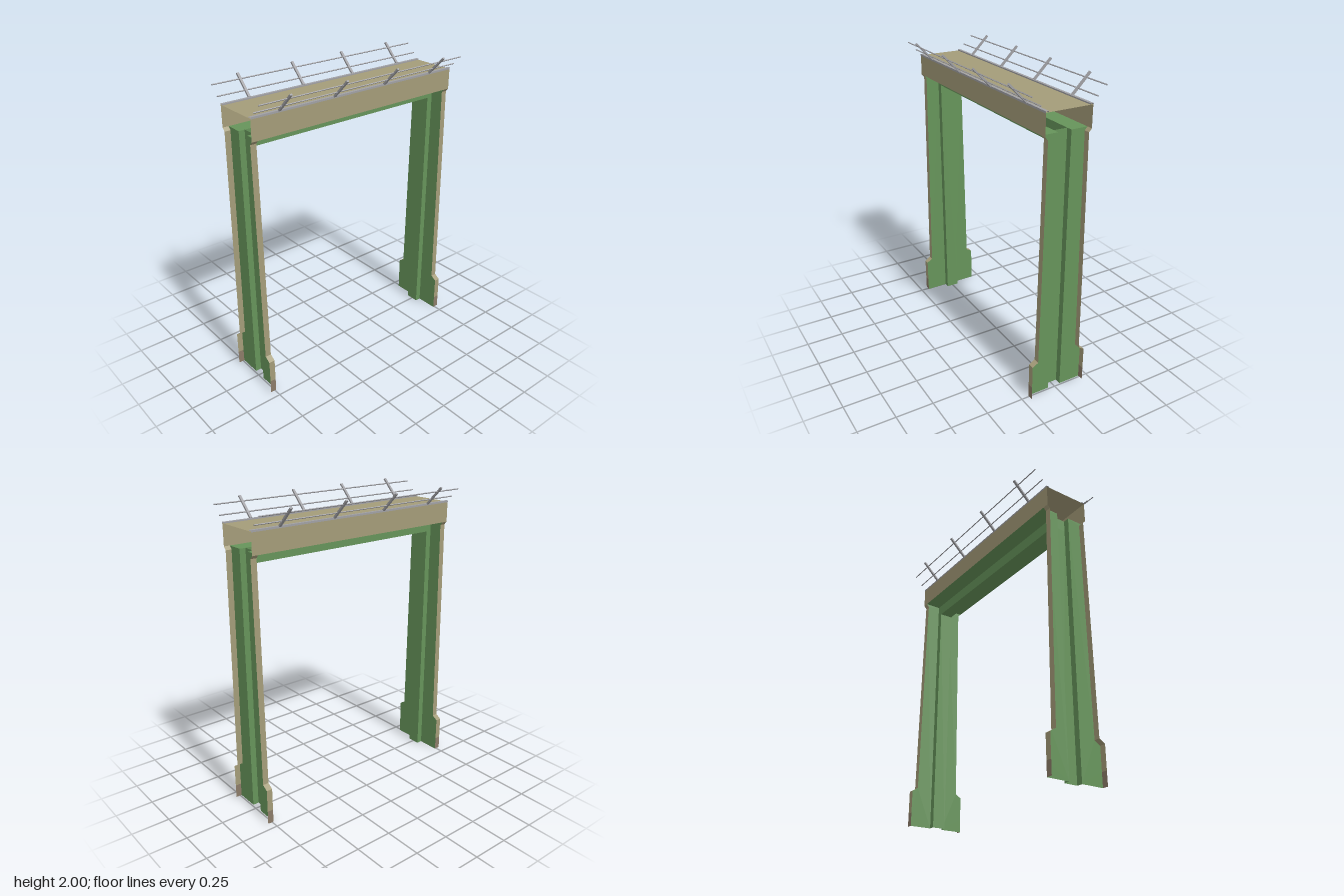
import * as THREE from 'three';

const mat = (name, color) => {
  const m = new THREE.MeshStandardMaterial({ color, side: THREE.DoubleSide });
  m.name = name;
  return m;
};

export function createModel() {
  const green = mat('green paint', 0x66945a);
  const khaki = mat('khaki stone', 0xa49c79);
  const brown = mat('brown plinth', 0x8b7b68);
  const grey = mat('grey metal', 0xa0a0a4);

  const model = new THREE.Group();
  model.name = 'portal';

  const add = (name, geometry, material) => {
    const mesh = new THREE.Mesh(geometry, material);
    mesh.name = name;
    model.add(mesh);
    return mesh;
  };

  // Folded thin sheet: a polyline swept between two parallel edges
  const sheet = (pts, toA, toB) => {
    const pos = [];
    for (let i = 0; i < pts.length - 1; i++) {
      const a = toA(pts[i]), b = toA(pts[i + 1]), c = toB(pts[i + 1]), d = toB(pts[i]);
      pos.push(...a, ...b, ...c, ...a, ...c, ...d);
    }
    const g = new THREE.BufferGeometry();
    g.setAttribute('position', new THREE.Float32BufferAttribute(pos, 3));
    g.computeVertexNormals();
    return g;
  };
  // Profile points are [z, y], swept along x; s mirrors z
  const alongX = (pts, x0, x1, s = 1) =>
    sheet(pts, ([z, y]) => [x0, y, z * s], ([z, y]) => [x1, y, z * s]);
  const flat = pts => new THREE.ShapeGeometry(new THREE.Shape(pts.map(p => new THREE.Vector2(...p))));

  const END = 0.78, WEB = 0.74, RIB = 0.70;
  const TOP = 1.735, RIBY = 1.66, RZ = 0.045, DECK = 1.872;
  // Leg edge: wide foot, bevel, slow taper, flared head
  const foot = [[0.195, 0], [0.195, 0.09]];
  const edge = [[0.195, 0.09], [0.195, 0.242], [0.155, 0.267], [0.136, 1.715], [0.154, TOP]];

  for (const sx of [1, -1]) {
    for (const sz of [1, -1]) {
      // Leg web beside the groove
      const web = flat([[RZ, 0], foot[0], ...edge, [RZ, TOP]].map(([z, y]) => [z * sz, y]));
      web.rotateY(-Math.PI / 2).translate(sx * WEB, 0, 0);
      add('legWeb', web, green);
      // Outward flange following the leg edge
      add('legFlange', alongX(edge, sx * WEB, sx * END, sz), khaki);
      add('legFoot', alongX(foot, sx * WEB, sx * END, sz), brown);
    }
    // Closes the groove above the rib corner
    add('grooveEnd', sheet([RIBY, TOP], y => [sx * RIB, y, RZ], y => [sx * RIB, y, -RZ]), green);
  }

  // Rib running up both legs and under the beam
  add('ribFace', sheet([[RIB, 0], [RIB, RIBY], [-RIB, RIBY], [-RIB, 0]],
    ([x, y]) => [x, y, RZ], ([x, y]) => [x, y, -RZ]), green);
  for (const sz of [1, -1]) {
    const side = flat([[WEB, 0], [WEB, TOP], [-WEB, TOP], [-WEB, 0],
      [-RIB, 0], [-RIB, RIBY], [RIB, RIBY], [RIB, 0]]);
    side.translate(0, 0, sz * RZ);
    add('ribSide', side, green);
    add('soffit', alongX([[RZ, TOP], [0.154, TOP]], -WEB, WEB, sz), green);
    add('beamSide', alongX([[0.154, TOP], [0.154, DECK]], -END, END, sz), khaki);
    add('curb', alongX([[0.156, 1.868], [0.156, 1.88], [0.137, 1.88], [0.137, DECK]], -END, END, sz), grey);

    // Railing leaning outward at 45 degrees
    for (let i = 0; i < 4; i++) {
      const post = add('railPost', new THREE.BoxGeometry(0.016, 0.167, 0.011), grey);
      post.position.set(-0.588 + i * 0.392, 1.937, sz * 0.211);
      post.rotation.x = sz * Math.PI / 4;
    }
    for (const [z, y] of [[0.187, 1.913], [0.242, 1.968]]) {
      const rail = add('railWire', new THREE.BoxGeometry(END * 2, 0.006, 0.006), grey);
      rail.position.set(0, y, sz * z);
      rail.rotation.x = sz * Math.PI / 4;
    }
  }
  add('deck', alongX([[0.154, DECK], [-0.154, DECK]], -END, END), khaki);

  return model;
}
